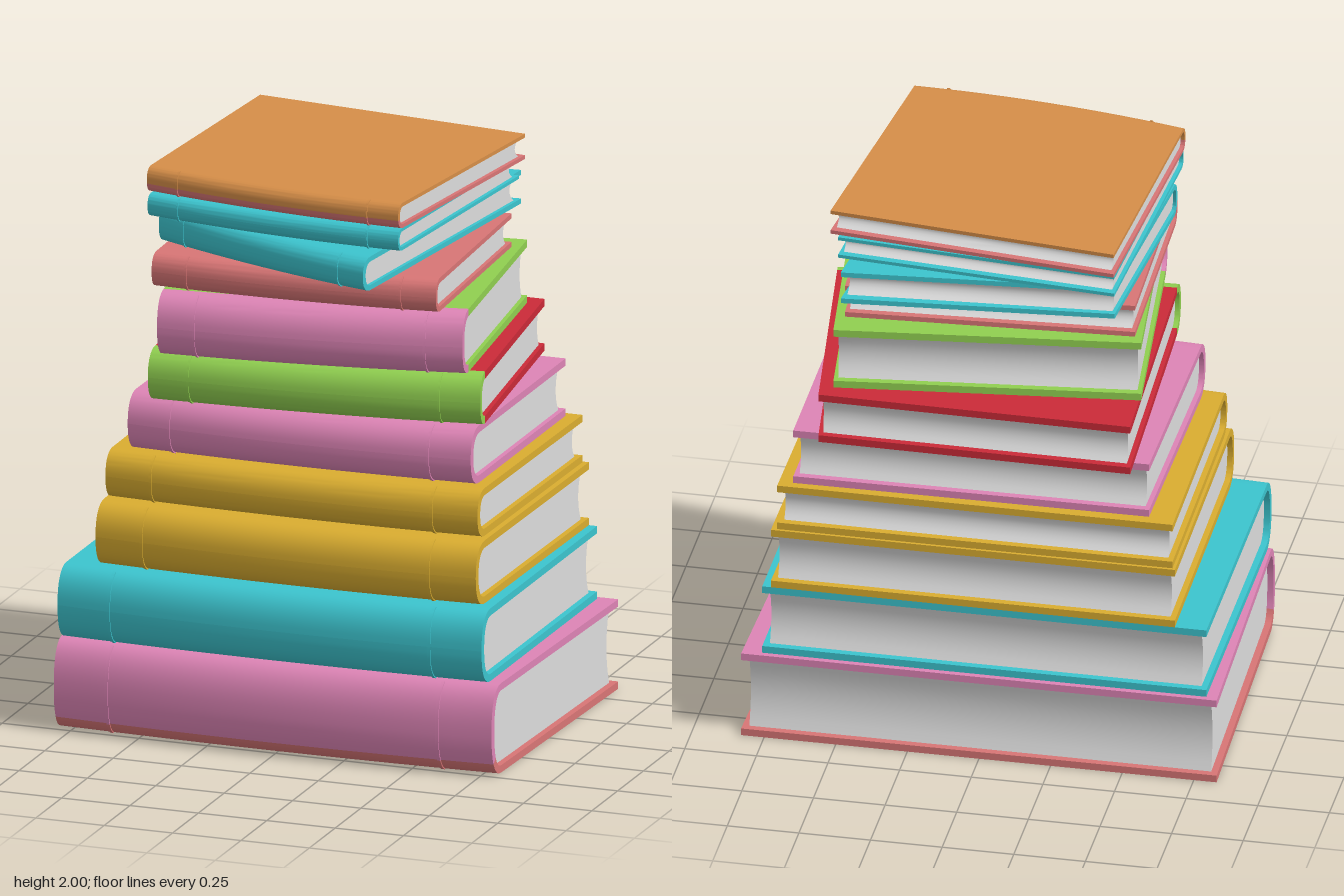
import * as THREE from 'three';
import { toCreasedNormals } from 'three/addons/utils/BufferGeometryUtils.js';

const material = (name, color) => {
  const m = new THREE.MeshStandardMaterial({ color });
  m.name = name;
  return m;
};

export function createModel() {
  const pink = material('pink', 0xdd84b5), salmon = material('salmon', 0xd87575);
  const teal = material('teal', 0x3cc4ce), yellow = material('yellow', 0xdaad30);
  const red = material('red', 0xcb2a38), green = material('green', 0x90cf50);
  const orange = material('orange', 0xd68e48), paper = material('paper', 0xdcdcdc);

  // y range, footprint corners [x, z] (front left, front right, back left, back right as seen), colours
  const books = [
    { y: [0, 0.32], c: [[-0.8, 0.53], [0.8, 0.53], [-0.83, -0.62], [0.83, -0.62]], top: pink, spine: pink, low: salmon, bottom: salmon, split: 0.17 },
    { y: [0.32, 0.58], c: [[-0.79, 0.52], [0.76, 0.52], [-0.79, -0.6], [0.76, -0.6]], top: teal },
    { y: [0.58, 0.805], c: [[-0.67, 0.47], [0.72, 0.47], [-0.68, -0.6], [0.73, -0.6]], top: yellow },
    { y: [0.805, 0.975], c: [[-0.66, 0.4], [0.7, 0.4], [-0.67, -0.59], [0.71, -0.59]], top: yellow },
    { y: [0.975, 1.18], c: [[-0.59, 0.37], [0.66, 0.36], [-0.58, -0.55], [0.66, -0.56]], top: pink },
    { y: [1.18, 1.365], c: [[-0.49, 0.44], [0.68, 0.32], [-0.53, -0.63], [0.56, -0.62]], top: red, spine: green },
    { y: [1.365, 1.59], c: [[-0.43, 0.51], [0.63, 0.36], [-0.53, -0.44], [0.52, -0.56]], top: green, spine: pink },
    { y: [1.59, 1.71], c: [[-0.48, 0.43], [0.54, 0.38], [-0.5, -0.4], [0.5, -0.46]], top: salmon },
    { y: [1.71, 1.83], c: [[-0.51, 0.28], [0.36, 0.61], [-0.45, -0.5], [0.49, -0.58]], top: teal },
    { y: [1.83, 1.91], c: [[-0.51, 0.39], [0.44, 0.48], [-0.46, -0.56], [0.52, -0.48]], top: teal },
    { y: [1.91, 2], c: [[-0.52, 0.37], [0.44, 0.48], [-0.46, -0.57], [0.55, -0.46]], top: orange, spine: orange, low: salmon, bottom: salmon, split: 0.4 },
  ];

  const stack = new THREE.Group();
  stack.name = 'bookStack';

  books.forEach((b, i) => {
    const group = new THREE.Group();
    group.name = 'book' + (i + 1);
    stack.add(group);
    const [y0, y1] = b.y, H = y1 - y0, h = H / 2;
    const [FL, FR, BL, BR] = b.c;
    const D = (Math.hypot(FL[0] - BL[0], FL[1] - BL[1]) + Math.hypot(FR[0] - BR[0], FR[1] - BR[1])) / 2;
    const t = Math.min(0.026, H * 0.15), d = Math.min(0.09, H * 0.42), joint = D - d;
    const spine = b.spine || b.top, low = b.low || spine, bottom = b.bottom || b.top;

    // Rounded spine curve, grown or shrunk by an offset, between two angles
    const arc = (offset, a0, a1) => Array.from({ length: 15 }, (_, k) => {
      const a = a0 + (a1 - a0) * k / 14, s = Math.sin(a), c = Math.max(0, Math.cos(a));
      return new THREE.Vector2(
        joint + (d + offset) * c ** 0.85,
        h + (h + offset) * Math.sign(s) * Math.abs(s) ** 0.85);
    });
    const rect = (x0, x1, ya, yb) => [[x0, ya], [x1, ya], [x1, yb], [x0, yb]].map(p => new THREE.Vector2(...p));

    // Extrude a side profile across the book and fit it to the four corners
    const add = (name, points, mat, u0 = 0, u1 = 1, steps = 12) => {
      const geo = new THREE.ExtrudeGeometry(new THREE.Shape(points), { depth: u1 - u0, steps, bevelEnabled: false });
      const p = geo.attributes.position;
      for (let k = 0; k < p.count; k++) {
        const v = p.getX(k) / D, u = u1 - p.getZ(k);
        const mix = n => (1 - v) * ((1 - u) * BL[n] + u * BR[n]) + v * ((1 - u) * FL[n] + u * FR[n]);
        const bow = 0.03 * 4 * u * (1 - u) * Math.max(0, v) ** 6;
        p.setXYZ(k, mix(0), y0 + p.getY(k), mix(1) + bow);
      }
      const mesh = new THREE.Mesh(toCreasedNormals(geo, 0.6), mat);
      mesh.name = name;
      group.add(mesh);
    };

    // Boards
    add('topCover', rect(0, joint, H - t, H), b.top);
    add('bottomCover', rect(0, joint, 0, t), bottom);

    // Spine in an upper and a lower part, with raised hinge bands
    const q = Math.PI / 2, mid = b.split ? Math.asin(b.split * 2 - 1) : 0;
    const shell = (out, inn, a0, a1) => [...arc(out, a0, a1), ...arc(inn, a0, a1).reverse()];
    for (const [name, a0, a1, mat] of [['lowerSpine', -q, mid, low], ['upperSpine', mid, q, spine]]) {
      add(name, shell(0, -t, a0, a1), mat);
      const b0 = Math.max(a0, -1.25), b1 = Math.min(a1, 1.25);
      for (const u of [0.12, 0.875]) add('spineBand', shell(0.004, -0.004, b0, b1), mat, u, u + 0.007, 1);
    }

    // Page block, rounded at the spine and hollow at the fore edge
    const fore = Array.from({ length: 9 }, (_, k) => {
      const s = 1 - k / 4;
      return new THREE.Vector2(0.025 + 0.025 * (1 - s * s), h + s * (h - t));
    });
    add('pages', [...arc(-t, -q, q), ...fore], paper, 0.014, 0.986);
  });

  // Pink patch under the lowest book
  const patch = new THREE.Shape([[-0.8, 0.44], [-0.54, 0.23], [-0.35, -0.35], [-0.58, -0.61], [-0.82, -0.61]]
    .map(([x, z]) => new THREE.Vector2(x, z)));
  const patchMesh = new THREE.Mesh(new THREE.ShapeGeometry(patch).rotateX(Math.PI / 2), pink);
  patchMesh.position.y = -0.001;
  patchMesh.name = 'undersidePatch';
  stack.add(patchMesh);

  return stack;
}
